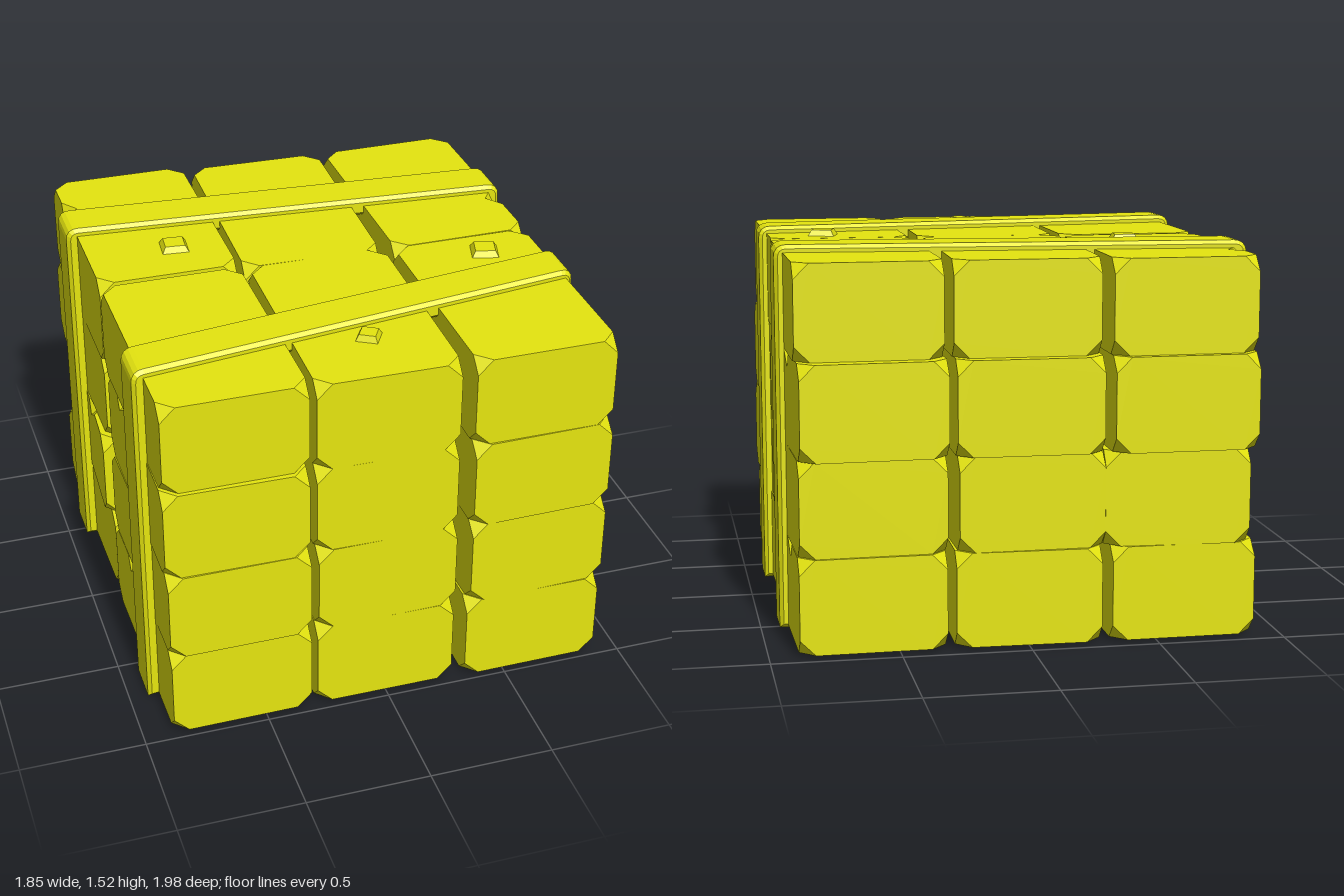
import * as THREE from 'three';

const material = new THREE.MeshStandardMaterial({ color: 0xe6e60f, flatShading: true });

// Box with cut corners; notch = { n: side (+1/-1 in x), z } bites a wedge out of its top edge
function blockGeometry(w, h, d, c, notch) {
  const half = [w / 2, h / 2, d / 2];
  const pos = [];
  const tri = (...pts) => pts.forEach((p) => pos.push(...p));

  let low, high, side, top;
  if (notch) {
    const X = notch.n * half[0], Y = half[1], z = notch.z;
    low = [X, Y, z - 0.07];
    high = [X, Y, z + 0.07];
    side = [X, Y - 0.06, z - 0.03];
    top = [X - notch.n * 0.05, Y, z];
    if (notch.n > 0) { tri(low, top, side); tri(high, side, top); }
    else { tri(low, side, top); tri(high, top, side); }
  }

  // six eight-sided faces
  for (let a = 0; a < 3; a++) for (const s of [1, -1]) {
    const u = (a + 1) % 3, v = (a + 2) % 3, U = half[u], V = half[v];
    const ring = [[U, c - V], [U, V - c], [U - c, V], [c - U, V], [-U, V - c], [-U, c - V], [c - U, -V], [U - c, -V]]
      .map(([pu, pv]) => {
        const p = [0, 0, 0];
        p[a] = s * half[a]; p[u] = pu; p[v] = pv;
        return p;
      });
    if (notch && a === 0 && s === notch.n) ring.splice(1, 0, low, side, high);
    if (notch && a === 1 && s === 1) {
      if (notch.n > 0) ring.splice(3, 0, high, top, low);
      else ring.splice(7, 0, low, top, high);
    }
    const flat = ring.map((p) => new THREE.Vector2(p[u], p[v]));
    for (const [i, j, k] of THREE.ShapeUtils.triangulateShape(flat, [])) {
      if (s > 0) tri(ring[i], ring[j], ring[k]);
      else tri(ring[i], ring[k], ring[j]);
    }
  }

  // eight corner cuts
  for (const sx of [1, -1]) for (const sy of [1, -1]) for (const sz of [1, -1]) {
    const [x, y, z] = [sx * half[0], sy * half[1], sz * half[2]];
    const p = [x - sx * c, y, z], q = [x, y - sy * c, z], r = [x, y, z - sz * c];
    if (sx * sy * sz > 0) tri(p, q, r); else tri(p, r, q);
  }

  const g = new THREE.BufferGeometry();
  g.setAttribute('position', new THREE.Float32BufferAttribute(pos, 3));
  g.computeVertexNormals();
  return g;
}

// Closed band around the stack, slanted so its z changes with x
function strapGeometry(z, slope) {
  const X = 0.91, top = 1.505, bottom = 0.015, r = 0.035, bevel = 0.015, width = 0.2;
  const shape = new THREE.Shape();
  shape.moveTo(-X, bottom);
  shape.lineTo(X, bottom);
  shape.lineTo(X, top - r);
  shape.quadraticCurveTo(X, top, X - r, top);
  shape.lineTo(-X + r, top);
  shape.quadraticCurveTo(-X, top, -X, top - r);
  shape.closePath();
  const hole = new THREE.Path();
  hole.moveTo(-0.86, 0.045);
  hole.lineTo(-0.86, 1.46);
  hole.lineTo(0.86, 1.46);
  hole.lineTo(0.86, 0.045);
  hole.closePath();
  shape.holes.push(hole);
  const g = new THREE.ExtrudeGeometry(shape, {
    depth: width - 2 * bevel, bevelEnabled: true, bevelSize: bevel,
    bevelThickness: bevel, bevelSegments: 1, curveSegments: 4,
  });
  g.translate(0, 0, z - width / 2 + bevel);
  const p = g.attributes.position;
  for (let i = 0; i < p.count; i++) p.setZ(i, p.getZ(i) + slope * p.getX(i));
  g.computeVertexNormals();
  return g;
}

export function createModel() {
  const group = new THREE.Group();
  const add = (name, geometry, x = 0, y = 0, z = 0, turn = 0) => {
    const mesh = new THREE.Mesh(geometry, material);
    mesh.name = name;
    mesh.position.set(x, y, z);
    mesh.rotation.y = THREE.MathUtils.degToRad(turn);
    group.add(mesh);
  };

  // Stacked blocks: per column (left to right) the centre x and, for each layer, centre z and turn in degrees
  const columns = [
    { x: -0.6, front: [[0.5, 0.5], [0.505, 0.3], [0.5, -0.4], [0.48, 0.3]], back: [[-0.49, 0.5], [-0.49, -3], [-0.52, 0.4], [-0.49, 0]] },
    { x: -0.005, front: [[0.495, 0], [0.495, 0.4], [0.495, -0.4], [0.495, -0.5]], back: [[-0.49, -1], [-0.48, 0.6], [-0.5, -0.5], [-0.45, -1.2]] },
    { x: 0.61, front: [[0.505, 0.4], [0.505, 1.5], [0.51, 1.2], [0.505, 0.3]], back: [[-0.487, 1], [-0.475, 1.5], [-0.5, 2], [-0.445, 0.6]] },
  ];
  // Wedge bites keyed by column, row and layer, at world z
  const bites = {
    '2front0': 0.65, '2front2': 0.66, '2back0': -0.62, '2back2': -0.58, '2back1': -0.32, '2back3': -0.28,
    '0front0': 0.33, '0front2': 0.27, '0back1': -0.3, '0back3': -0.7,
  };
  columns.forEach((col, i) => {
    for (const row of ['front', 'back']) col[row].forEach(([z, turn], layer) => {
      const bite = bites[i + row + layer];
      const notch = bite === undefined ? null : { n: i === 2 ? 1 : -1, z: bite - z };
      add(`${row}Block`, blockGeometry(0.565, 0.37, row === 'front' ? 0.95 : 0.94, 0.06, notch),
        col.x, 0.195 + 0.37 * layer, z, turn);
    });
  });

  // Two slanted straps
  add('backStrap', strapGeometry(-0.488, 0.068));
  add('frontStrap', strapGeometry(0.5, -0.141));

  // Small raised chips on the top
  for (const [x, z, r, turn] of [[-0.525, -0.24, 0.088, 40], [0.665, 0.17, 0.088, 30], [0, 0.685, 0.07, 15]]) {
    add('topChip', new THREE.CylinderGeometry(r * 0.65, r, 0.04, 4), x, 1.495, z, turn);
  }
  return group;
}
